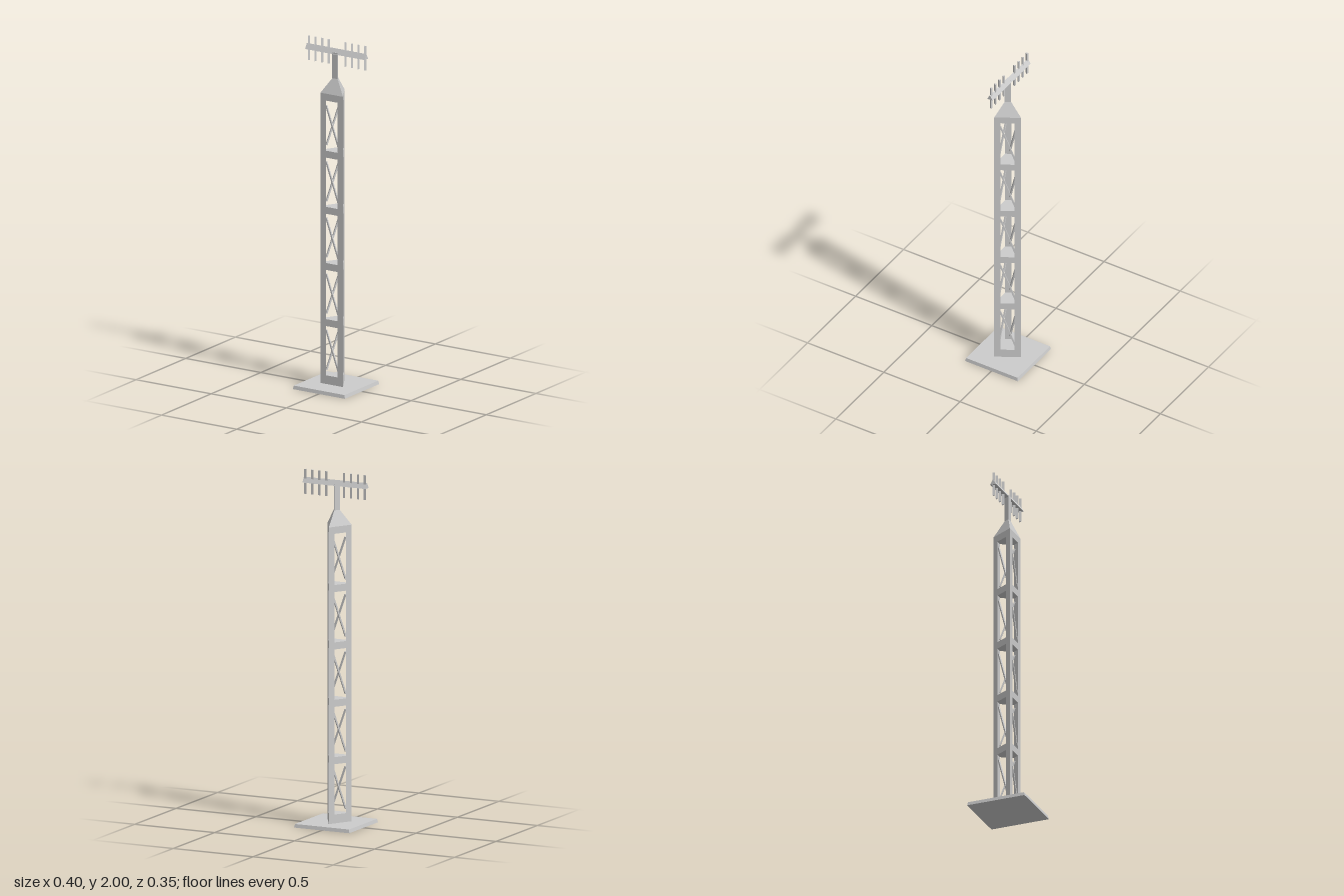
import * as THREE from 'three';

const material = new THREE.MeshStandardMaterial({ color: 0xcccccc, flatShading: true });
const R = 0.0866; // tower corner radius
const INNER = R / 2; // centre to face distance
const COLUMN_R = 0.0207; // corner column radius
const SLAB_H = 0.04;

function add(parent, name, geometry, x = 0, y = 0, z = 0) {
  const mesh = new THREE.Mesh(geometry, material);
  mesh.name = name;
  mesh.position.set(x, y, z);
  parent.add(mesh);
  return mesh;
}

// Upright three-sided prism or frustum, one corner facing the back
function triPrism(rTop, rBottom, height) {
  return new THREE.CylinderGeometry(rTop, rBottom, height, 3).rotateY(Math.PI);
}

export function createModel() {
  const model = new THREE.Group();
  model.name = 'antennaTower';

  // Square base with slightly sloping sides
  const base = new THREE.CylinderGeometry(0.169 * Math.SQRT2, 0.173 * Math.SQRT2, 0.02, 4);
  add(model, 'basePlate', base.rotateY(Math.PI / 4), 0, 0.01, 0);

  // Three corner columns
  for (let i = 0; i < 3; i++) {
    const a = Math.PI + (i * Math.PI * 2) / 3;
    const d = R - COLUMN_R;
    add(model, 'cornerColumn', triPrism(COLUMN_R, COLUMN_R, 1.68), Math.sin(a) * d, 0.86, Math.cos(a) * d);
  }

  // Solid triangular floors between the openings
  add(model, 'bottomFloor', triPrism(R, R, 0.05), 0, 0.045, 0);
  for (let i = 0; i < 4; i++) {
    add(model, 'floor', triPrism(R, R, SLAB_H), 0, 0.375 + i * 0.325, 0);
  }
  add(model, 'topFloor', triPrism(R, R, SLAB_H), 0, 1.68, 0);

  // One diagonal brace per opening, repeated around the three faces
  for (let side = 0; side < 3; side++) {
    const face = new THREE.Group();
    face.name = 'faceBraces';
    face.rotation.y = (side * Math.PI * 2) / 3;
    for (let i = 0; i < 5; i++) {
      const bar = add(face, 'diagonalBrace', new THREE.BoxGeometry(0.009, 0.25, 0.009), 0, 0.2125 + i * 0.325, INNER - 0.009);
      bar.rotation.z = Math.atan2(0.078, 0.22);
    }
    model.add(face);
  }

  // Tapered cap and mast
  add(model, 'cap', triPrism(0.021, R, 0.085), 0, 1.7425, 0);
  add(model, 'mast', triPrism(0.021, 0.021, 0.155), 0, 1.8575, 0);

  // Triangular crossbeam, ridge upward
  const section = new THREE.Shape([
    new THREE.Vector2(-0.018, 0),
    new THREE.Vector2(0.018, 0),
    new THREE.Vector2(0, 0.031),
  ]);
  const beam = new THREE.ExtrudeGeometry(section, { depth: 0.396, bevelEnabled: false });
  beam.translate(0, 0, -0.198).rotateY(Math.PI / 2);
  add(model, 'crossbeam', beam, 0, 1.925, -0.006);

  // Two mirrored rows of vertical aerial rods
  for (const s of [-1, 1]) {
    for (let i = 0; i < 4; i++) {
      const rod = new THREE.CylinderGeometry(0.0085, 0.0085, 0.14, 3);
      add(model, 'aerialRod', rod, s * (0.056 + i * 0.0435), 1.93, -0.007);
    }
  }
  return model;
}
